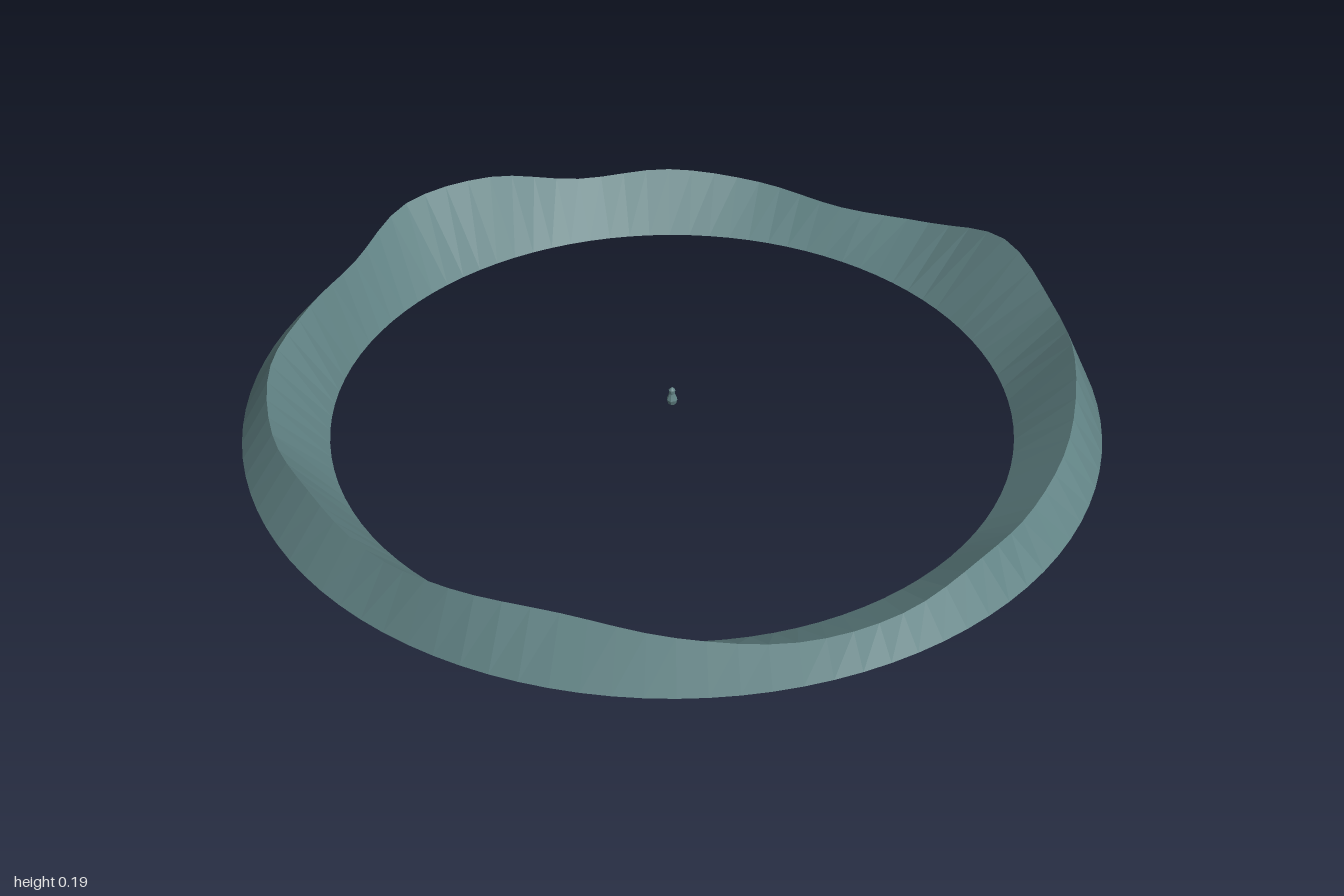
import * as THREE from 'three';

const SEGMENTS = 96;
// Crest every 15 degrees, from +x towards +z: [radius, height]
const CREST = [
  [0.955, 0.185], [0.95, 0.145], [0.935, 0.155], [0.925, 0.105], [0.91, 0.08], [0.92, 0.1],
  [0.94, 0.088], [0.955, 0.105], [0.935, 0.13], [0.91, 0.15], [0.93, 0.155], [0.92, 0.13],
  [0.915, 0.138], [0.93, 0.13], [0.93, 0.15], [0.895, 0.16], [0.9, 0.145], [0.945, 0.18],
  [0.925, 0.178], [0.915, 0.122], [0.918, 0.13], [0.915, 0.11], [0.89, 0.1], [0.935, 0.12],
];

// Point on a circle of radius r at height y
const polar = (a, r, y) => [Math.cos(a) * r, y, Math.sin(a) * r];

// Open strip between two closed loops given by functions of the turn fraction
function strip(name, lower, upper, material) {
  const positions = [];
  const index = [];
  for (let i = 0; i <= SEGMENTS; i++) {
    const t = (i % SEGMENTS) / SEGMENTS;
    positions.push(...lower(t), ...upper(t));
    if (i < SEGMENTS) {
      const k = i * 2;
      index.push(k, k + 1, k + 2, k + 1, k + 3, k + 2);
    }
  }
  const geometry = new THREE.BufferGeometry();
  geometry.setAttribute('position', new THREE.Float32BufferAttribute(positions, 3));
  geometry.setIndex(index);
  geometry.computeVertexNormals();
  const mesh = new THREE.Mesh(geometry, material);
  mesh.name = name;
  return mesh;
}

export function createModel() {
  const group = new THREE.Group();
  group.name = 'mountainRing';
  const rock = new THREE.MeshStandardMaterial({
    name: 'slate teal', color: 0x608183, side: THREE.DoubleSide, flatShading: true,
  });

  // Wavy crest line
  const profile = new THREE.CatmullRomCurve3(
    CREST.map(([r, h], i) => new THREE.Vector3(...polar((i / CREST.length) * Math.PI * 2, r, h))),
    true, 'catmullrom', 0.5,
  );
  const crest = (t) => profile.getPoint(t).toArray();
  const innerRim = (t) => polar(t * Math.PI * 2, 0.8, 0);
  const outerRim = (t) => polar(t * Math.PI * 2, 1, 0.025);

  // Hollow ridge: an inner and an outer slope, open underneath
  group.add(strip('outerSlope', outerRim, crest, rock));
  group.add(strip('innerSlope', crest, innerRim, rock));

  // Tiny floating marker in the middle
  const outline = [[0, 0.035], [0.01, 0.037], [0.013, 0.048], [0.009, 0.058],
    [0.007, 0.064], [0.008, 0.074], [0, 0.082]];
  const marker = new THREE.Mesh(
    new THREE.LatheGeometry(outline.map(([x, y]) => new THREE.Vector2(x, y)), 8), rock,
  );
  marker.name = 'centreMarker';
  group.add(marker);
  return group;
}
